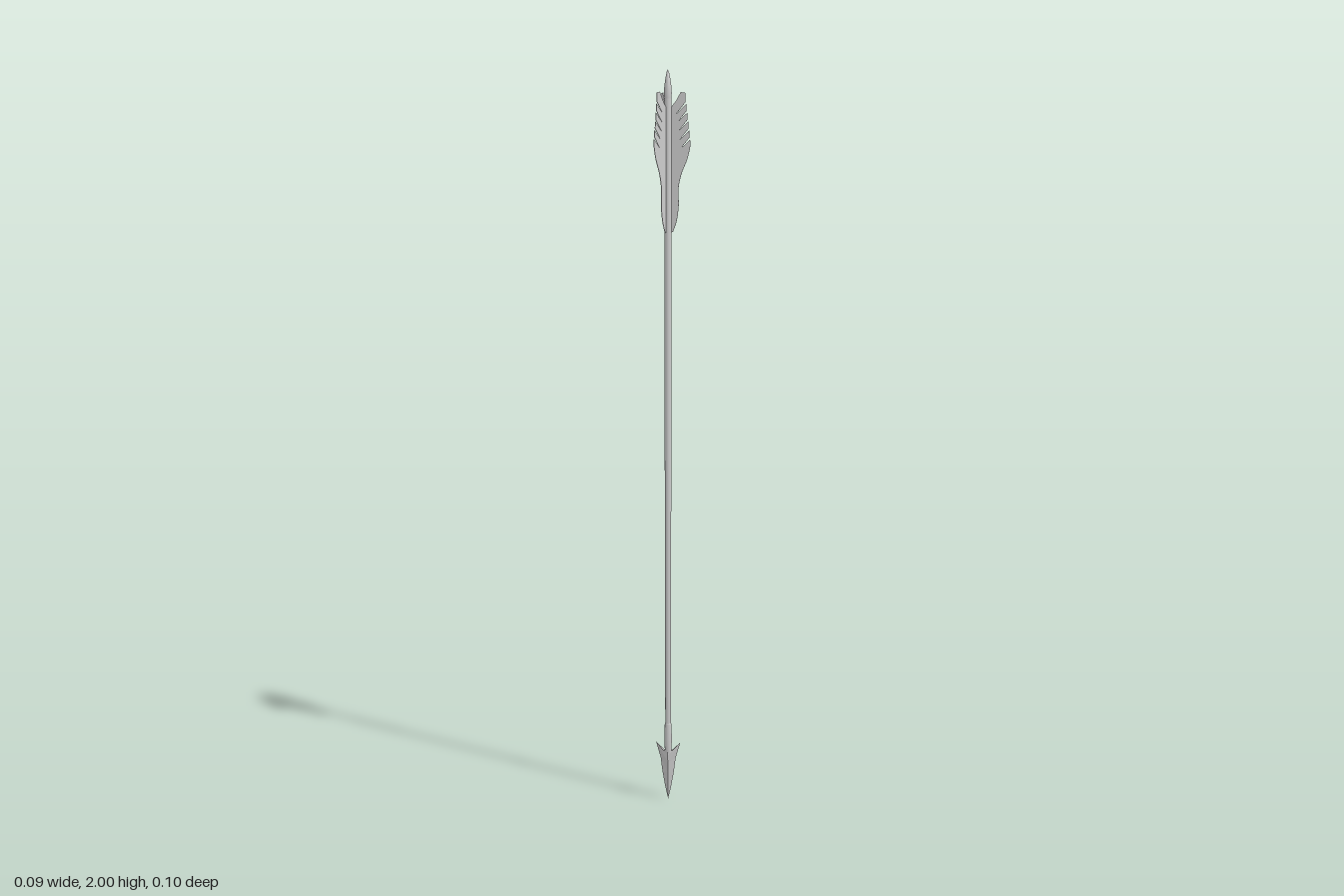
import * as THREE from 'three';

const AXIS_X = -0.013; // the shaft sits slightly off the centre of the bounds

function material(flat = false) {
  return new THREE.MeshStandardMaterial({ color: 0xcccccc, flatShading: flat, side: THREE.DoubleSide });
}

function lathe(name, profile, segments) {
  const points = profile.map(([r, y]) => new THREE.Vector2(r, y));
  const mesh = new THREE.Mesh(new THREE.LatheGeometry(points, segments), material());
  mesh.name = name;
  return mesh;
}

// Faceted blade: rows pair an outer edge point with a point on the central ridge
function bladeGeometry() {
  const rows = [ // edge x, edge y, ridge y, ridge z
    [0, 0, 0, 0],
    [0.008, 0.035, 0.035, 0.003],
    [0.016, 0.08, 0.08, 0.006],
    [0.021, 0.12, 0.11, 0.008],
    [0.034, 0.166, 0.13, 0.009],
    [0.018, 0.143, 0.143, 0.009],
    [0.009, 0.135, 0.16, 0.009],
  ];
  const positions = [];
  for (const sx of [1, -1]) for (const sz of [1, -1]) {
    const edge = ([x, y]) => [sx * x, y, 0];
    const ridge = ([, , y, z]) => [0, y, sz * z];
    const triangle = (a, b, c) => positions.push(...a, ...(sx * sz > 0 ? [...b, ...c] : [...c, ...b]));
    for (let i = 0; i < rows.length - 1; i++) {
      const p = rows[i], q = rows[i + 1];
      triangle(ridge(p), edge(p), edge(q));
      triangle(ridge(p), edge(q), ridge(q));
    }
  }
  const geometry = new THREE.BufferGeometry();
  geometry.setAttribute('position', new THREE.Float32BufferAttribute(positions, 3));
  geometry.computeVertexNormals();
  return geometry;
}

// Feather vane with slanted slits cut into its upper outer edge
function featherGeometry() {
  const shape = new THREE.Shape();
  shape.moveTo(0.006, 1.575);
  shape.lineTo(0.014, 1.58);
  shape.splineThru([[0.024, 1.61], [0.029, 1.65], [0.028, 1.69], [0.036, 1.73], [0.052, 1.77], [0.06, 1.805]]
    .map(([x, y]) => new THREE.Vector2(x, y)));
  for (let i = 0; i < 5; i++) {
    const y = 1.82 + i * 0.023;
    const x = 0.059 - i * 0.0025;
    shape.lineTo(x, y);
    shape.lineTo(x - 0.026, y - 0.025);
    shape.lineTo(x - 0.002, y + 0.005);
  }
  shape.lineTo(0.046, 1.94);
  shape.lineTo(0.034, 1.942);
  shape.lineTo(0.022, 1.92);
  shape.lineTo(0.006, 1.9);
  shape.closePath();
  const geometry = new THREE.ExtrudeGeometry(shape, { depth: 0.0016, bevelEnabled: false, curveSegments: 14 });
  geometry.translate(0, 0, -0.0008);
  return geometry;
}

export function createModel() {
  const arrow = new THREE.Group();
  arrow.name = 'arrow';
  arrow.position.x = AXIS_X;

  // Long, slightly tapered shaft
  arrow.add(lathe('shaft', [[0, 0.16], [0.008, 0.16], [0.0085, 0.6], [0.0095, 1.3], [0.0095, 1.94], [0, 1.94]], 16));

  // Pointed nock on the feathered end
  arrow.add(lathe('nock', [[0.0095, 1.925], [0.0105, 1.94], [0.009, 1.96], [0.006, 1.98], [0.003, 1.994], [0, 2]], 16));

  // Barbed head and its socket
  const head = new THREE.Group();
  head.name = 'arrowhead';
  const blade = new THREE.Mesh(bladeGeometry(), material(true));
  blade.name = 'blade';
  head.add(blade, lathe('socket', [[0, 0.09], [0.006, 0.11], [0.0095, 0.145], [0.0105, 0.175], [0.0095, 0.218], [0.008, 0.222]], 12));
  arrow.add(head);

  // Three feathers evenly spaced around the shaft
  const vane = featherGeometry();
  for (let i = 0; i < 3; i++) {
    const feather = new THREE.Mesh(vane, material(true));
    feather.name = `feather${i + 1}`;
    feather.rotation.y = (i * Math.PI * 2) / 3;
    arrow.add(feather);
  }

  const model = new THREE.Group();
  model.add(arrow);
  return model;
}
